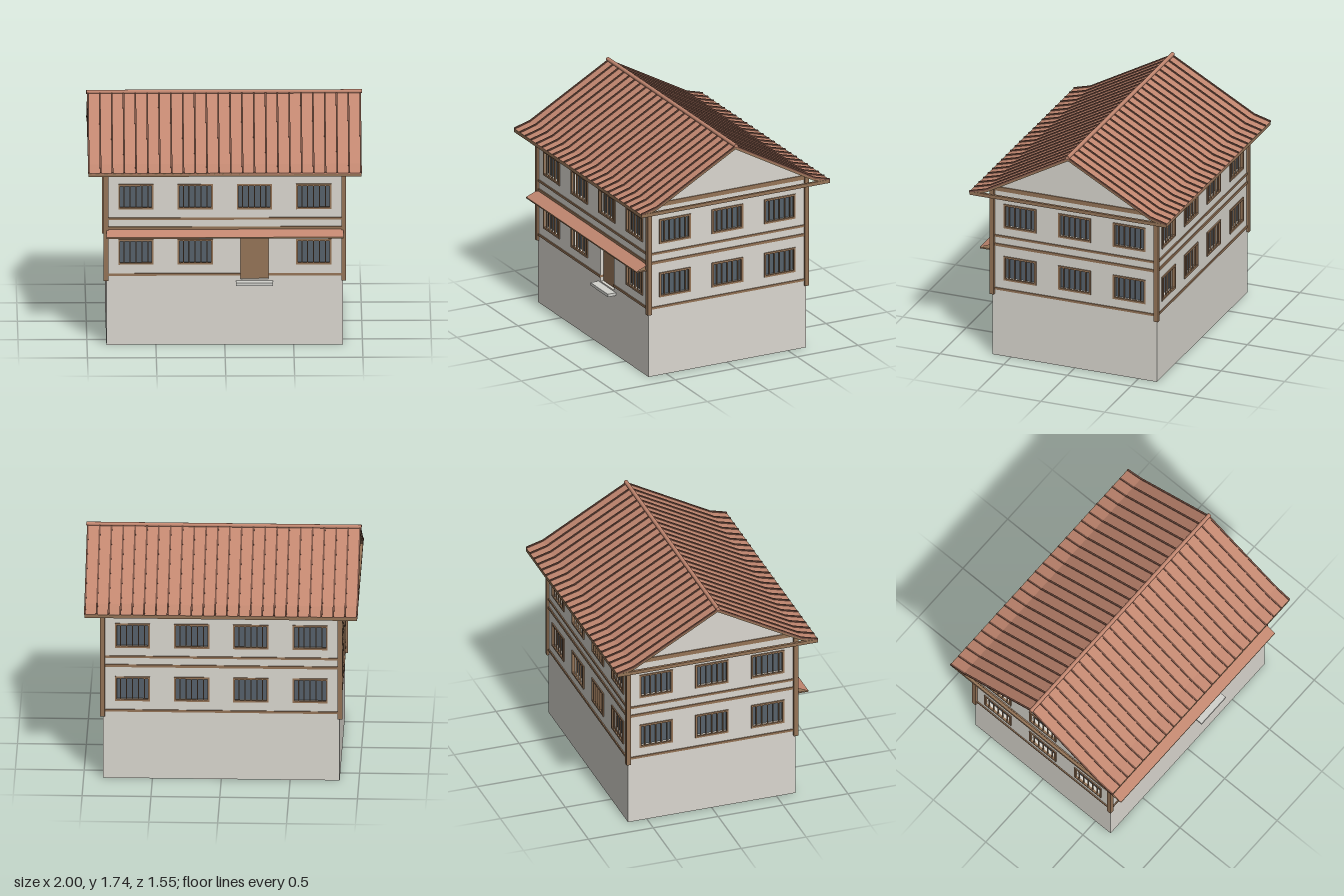
import * as THREE from 'three';

const mat = (name, color, extra = {}) => {
  const m = new THREE.MeshStandardMaterial({ color, ...extra });
  m.name = name;
  return m;
};

export function createModel() {
  const plaster = mat('plaster', 0xdad7cf);
  const wood = mat('wood', 0x957457);
  const tile = mat('roofTile', 0xc28770);
  const ribMat = mat('roofRib', 0x765042);
  const glass = mat('glass', 0x56616b);
  const stone = mat('stone', 0xd2d2cd);
  const canopyMat = mat('canopyTile', 0xc28770, { side: THREE.DoubleSide });

  const model = new THREE.Group();
  model.name = 'house';
  const HX = 0.86, HZ = 0.645, T = 0.05;

  const add = (parent, name, geo, material, x = 0, y = 0, z = 0) => {
    const m = new THREE.Mesh(geo, material);
    m.name = name;
    m.position.set(x, y, z);
    parent.add(m);
    return m;
  };
  const box = (parent, name, material, w, h, d, x, y, z) =>
    add(parent, name, new THREE.BoxGeometry(w, h, d), material, x, y, z);
  const poly = (pts) => new THREE.Shape(pts.map(([x, y]) => new THREE.Vector2(x, y)));
  const rect = (x, y, w, h) =>
    poly([[x - w / 2, y - h / 2], [x + w / 2, y - h / 2], [x + w / 2, y + h / 2], [x - w / 2, y + h / 2]]);
  const slab = (shape, depth) => new THREE.ExtrudeGeometry(shape, { depth, bevelEnabled: false });

  // Barred window; the outer wall face is z = 0
  const W = 0.256, H = 0.19, F = 0.014;
  function window_(parent, x, y) {
    const g = new THREE.Group();
    g.name = 'window';
    g.position.set(x, y, 0);
    parent.add(g);
    box(g, 'windowPane', glass, W - F, H - F, 0.006, 0, 0, -0.036);
    const ring = rect(0, 0, W, H);
    ring.holes.push(rect(0, 0, W - 2 * F, H - 2 * F));
    add(g, 'windowFrame', slab(ring, 0.016), wood, 0, 0, -0.008);
    for (let i = -2; i <= 2; i++) box(g, 'windowBar', wood, 0.007, H - F, 0.01, i * 0.043, 0, -0.002);
  }

  // One side of the house: base, pierced wall, windows and beams
  function wall(name, half, columns, gable, doorX) {
    const g = new THREE.Group();
    g.name = name;
    model.add(g);
    add(g, 'baseWall', slab(rect(0, 0.245, half * 2, 0.49), 0.006), plaster, 0, 0, -0.006);
    const outline = [[-half, 0.49], [half, 0.49], [half, 1.335]];
    if (gable) outline.push([0, 1.697]);
    outline.push([-half, 1.335]);
    const shape = poly(outline);
    for (const x of columns) {
      for (const y of [0.7, 1.115]) {
        if (x === doorX && y < 1) {
          shape.holes.push(rect(x, 0.646, 0.205, 0.308));
          box(g, 'door', wood, 0.205, 0.318, 0.012, x, 0.641, -0.03);
          box(g, 'doorStep', stone, 0.27, 0.022, 0.066, x, 0.471, 0.033);
        } else {
          shape.holes.push(rect(x, y, W - F, H - F));
          window_(g, x, y);
        }
      }
    }
    add(g, 'upperWall', slab(shape, T), plaster, 0, 0, -T);
    // Horizontal beams; the sill beam breaks at the door
    const beam = (a, b, y, h) => box(g, 'wallBeam', wood, b - a, h, 0.06, (a + b) / 2, y, -0.022);
    if (doorX === undefined) beam(-half, half, 0.53, 0.017);
    else {
      beam(-half, doorX - 0.1025, 0.53, 0.017);
      beam(doorX + 0.1025, half, 0.53, 0.017);
    }
    beam(-half, half, 0.88, 0.02);
    beam(-half, half, 0.95, 0.016);
    beam(-half, half, 1.326, 0.032);
    return g;
  }

  const cols = [-0.645, -0.215, 0.215, 0.645], sideCols = [-0.43, 0, 0.43];
  const front = wall('frontWall', HX, cols, false, 0.215);
  front.position.z = HZ;
  const back = wall('backWall', HX, cols, false);
  back.position.z = -HZ;
  back.rotation.y = Math.PI;
  for (const s of [1, -1]) {
    const side = wall(s > 0 ? 'leftWall' : 'rightWall', HZ, sideCols, true);
    side.position.x = s * HX;
    side.rotation.y = s * Math.PI / 2;
    // Corner posts, and tie beams under the roof ends
    for (const t of [1, -1])
      box(model, 'cornerPost', wood, 0.034, 0.855, 0.034, s * 0.863, 0.9125, t * 0.645);
    box(model, 'gableTie', wood, 0.02, 0.026, 1.54, s * 0.98, 1.313, 0);
    box(model, 'eaveBeam', wood, 1.98, 0.026, 0.02, 0, 1.313, s * 0.763);
  }

  // Canopy over the ground floor: a sloping sheet on a flat board
  const sheet = new THREE.PlaneGeometry(2 * HX, Math.hypot(0.095, 0.037));
  sheet.rotateX(-Math.atan2(0.095, 0.037));
  add(model, 'canopySheet', sheet, canopyMat, 0, 0.854, HZ + 0.05);
  box(model, 'canopyBoard', wood, 2 * HX, 0.01, 0.1, 0, 0.83, HZ + 0.05);

  // Roof layers share one flared slope, spanning both pitches
  const slope = [[-0.773, 1.325], [-0.645, 1.36], [0, 1.72], [0.645, 1.36], [0.773, 1.325]];
  function roofLayer(name, material, lo, hi, width, x) {
    const lower = slope.map(([z, y]) => [z, y + lo]);
    const upper = slope.map(([z, y]) => [z, y + hi]).reverse();
    const geo = slab(poly([...lower, ...upper]), width);
    geo.translate(0, 0, -width / 2);
    geo.rotateY(Math.PI / 2);
    add(model, name, geo, material, x);
  }
  roofLayer('roofDeck', wood, -0.022, -0.008, 1.976, 0);
  roofLayer('roofTiles', tile, -0.008, 0, 1.976, 0);
  for (let i = 0; i < 24; i++) roofLayer('roofRib', ribMat, -0.004, 0.009, 0.012, -0.988 + i * 1.976 / 23);

  const ridge = new THREE.CylinderGeometry(0.015, 0.015, 2, 12);
  ridge.rotateZ(Math.PI / 2);
  add(model, 'ridgeCap', ridge, tile, 0, 1.727, 0);

  return model;
}
